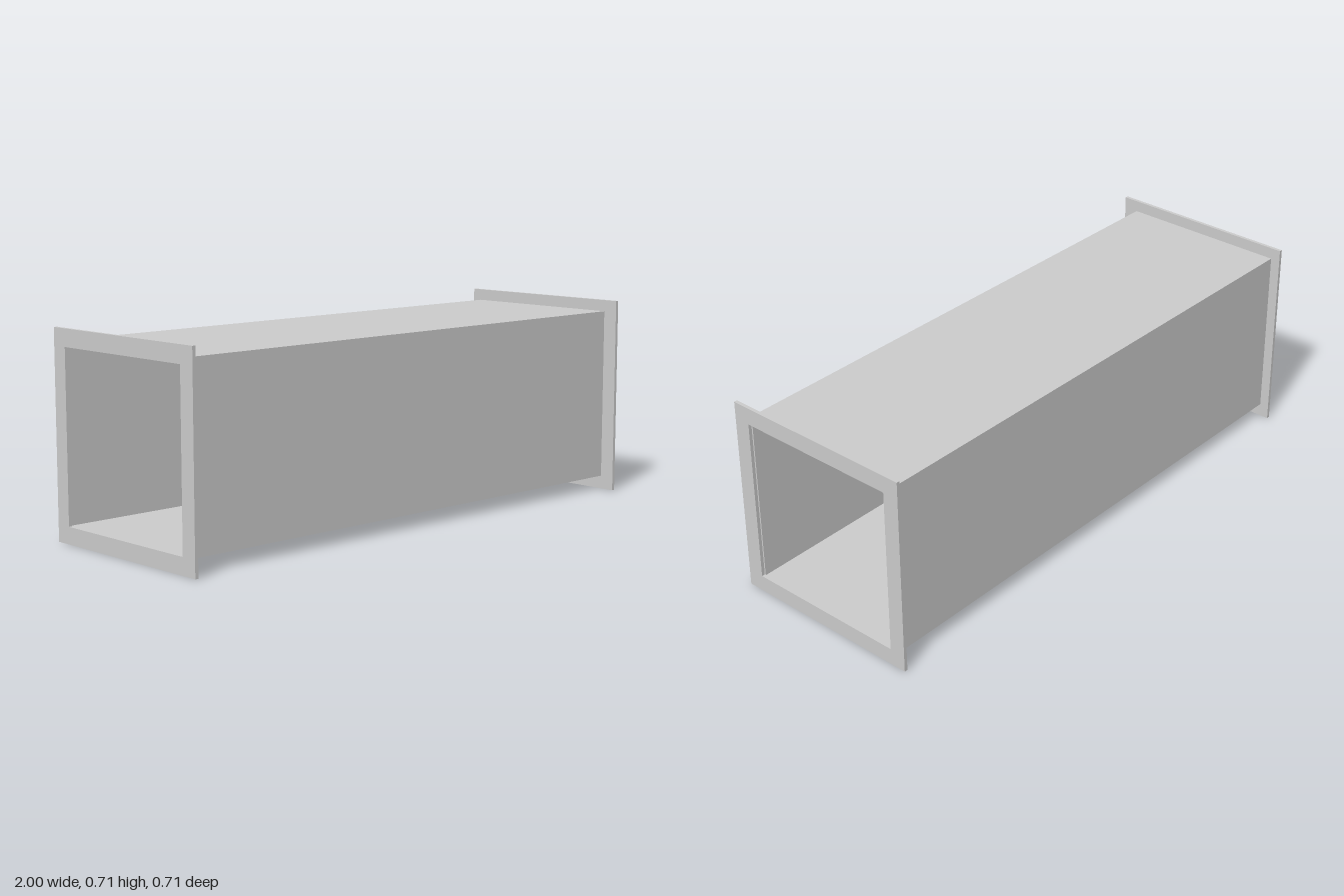
import * as THREE from 'three';

const material = new THREE.MeshStandardMaterial({ color: 0xcccccc, flatShading: true });

function rect(path, z0, z1, y0, y1) {
  // shape x becomes -z once the extrusion is turned to run along x
  path.moveTo(-z1, y0);
  path.lineTo(-z0, y0);
  path.lineTo(-z0, y1);
  path.lineTo(-z1, y1);
  path.closePath();
  return path;
}

// Hollow square section running along x from x0 to x1
function frame(name, outer, inner, x0, x1) {
  const shape = rect(new THREE.Shape(), ...outer);
  shape.holes.push(rect(new THREE.Path(), ...inner));
  const geometry = new THREE.ExtrudeGeometry(shape, { depth: x1 - x0, bevelEnabled: false });
  geometry.rotateY(Math.PI / 2);
  geometry.translate(x0, 0, 0);
  const mesh = new THREE.Mesh(geometry, material);
  mesh.name = name;
  return mesh;
}

export function createModel() {
  const group = new THREE.Group();
  group.name = 'squareDuct';
  const thick = 0.012;

  // Thin-walled duct, sitting slightly off the flange centre
  group.add(frame('ductBody',
    [-0.318, 0.299, 0.048, 0.665],
    [-0.308, 0.289, 0.058, 0.655],
    -1 + thick, 1 - thick));

  // End flanges
  const outer = [-0.353, 0.353, 0, 0.706];
  const inner = [-0.295, 0.294, 0.059, 0.646];
  group.add(frame('leftFlange', outer, inner, 1 - thick, 1));
  group.add(frame('rightFlange', outer, inner, -1, -1 + thick));
  return group;
}
